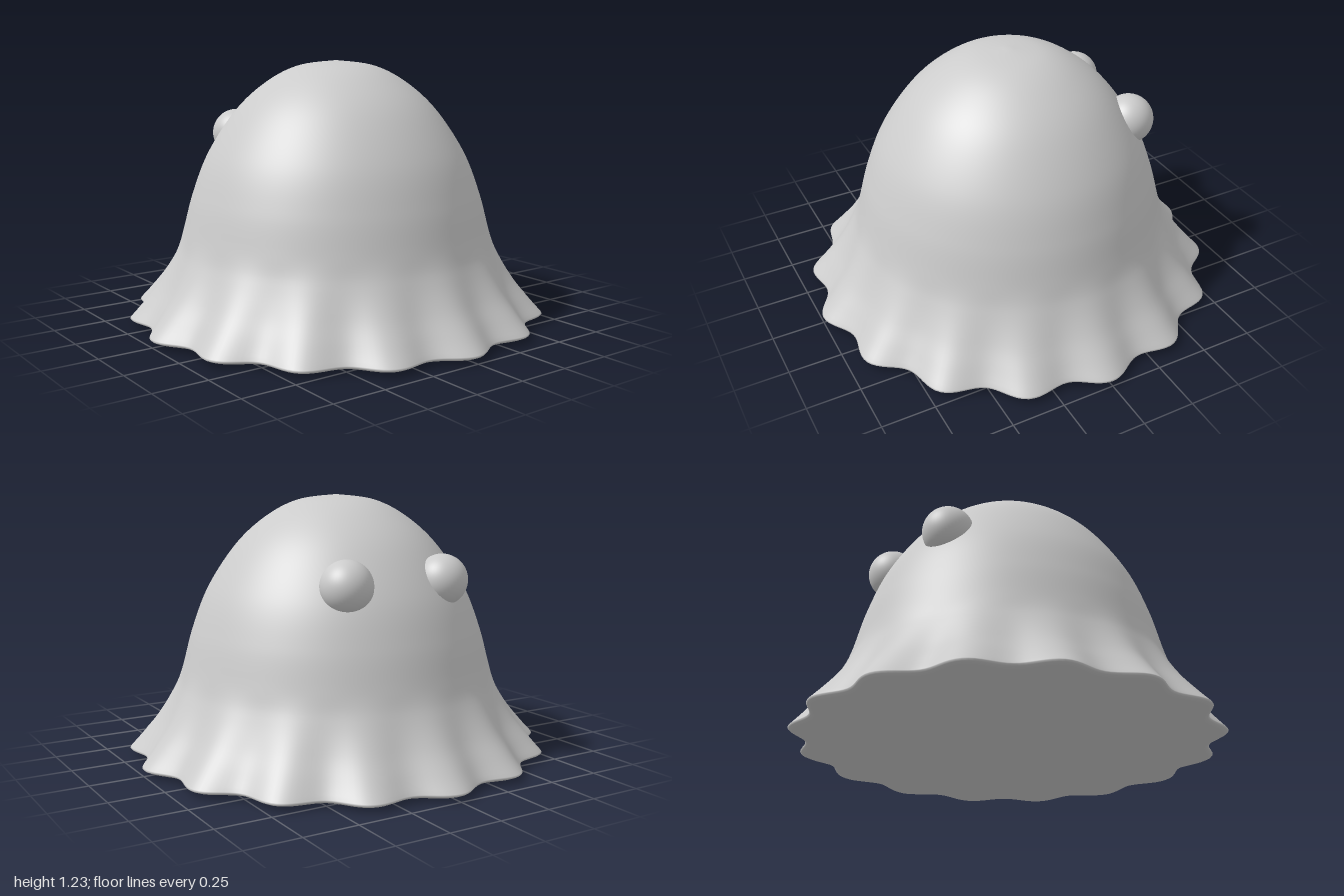
import * as THREE from 'three';
import { mergeVertices } from 'three/addons/utils/BufferGeometryUtils.js';

const material = new THREE.MeshStandardMaterial({ color: 0xcccccc });
const LOBES = 16;

// Bell-shaped body, closed below, with ruffles that fade out up the skirt
function bodyGeometry() {
  const side = new THREE.SplineCurve([
    [0.995, 0.035], [0.935, 0.1], [0.86, 0.19], [0.79, 0.3], [0.745, 0.4], [0.69, 0.6],
    [0.61, 0.8], [0.475, 1.0], [0.33, 1.13], [0.18, 1.205], [0, 1.23],
  ].map(([r, y]) => new THREE.Vector2(r, y))).getSpacedPoints(70);
  side[side.length - 1].x = 0;
  const base = [[0, 0], [0.45, 0.002], [0.8, 0.005], [0.93, 0.01], [0.975, 0.015], [0.993, 0.023], [0.999, 0.029]]
    .map(([r, y]) => new THREE.Vector2(r, y));
  const geometry = new THREE.LatheGeometry([...base, ...side], 256);

  const pos = geometry.attributes.position;
  for (let i = 0; i < pos.count; i++) {
    const x = pos.getX(i), y = pos.getY(i), z = pos.getZ(i);
    const r = Math.hypot(x, z);
    const fade = Math.max(0, 1 - y / 0.42) ** 1.3 * Math.min(1, r / 0.7) ** 2;
    const k = 1 - 0.036 * fade * (1 - Math.cos(LOBES * Math.atan2(z, x)));
    pos.setXYZ(i, x * k, y, z * k);
  }

  // Weld the seam so the shading runs smoothly all round
  geometry.deleteAttribute('normal');
  geometry.deleteAttribute('uv');
  const welded = mergeVertices(geometry, 1e-5);
  welded.computeVertexNormals();
  return welded;
}

export function createModel() {
  const model = new THREE.Group();
  model.name = 'ruffledBlob';

  const body = new THREE.Mesh(bodyGeometry(), material);
  body.name = 'body';
  model.add(body);

  // Two round eyes half sunk into the back
  const eyeGeometry = new THREE.SphereGeometry(0.118, 48, 32);
  for (const s of [1, -1]) {
    const eye = new THREE.Mesh(eyeGeometry, material);
    eye.name = s > 0 ? 'leftEye' : 'rightEye';
    eye.position.set(0.253 * s, 0.857, -0.507);
    model.add(eye);
  }
  return model;
}
